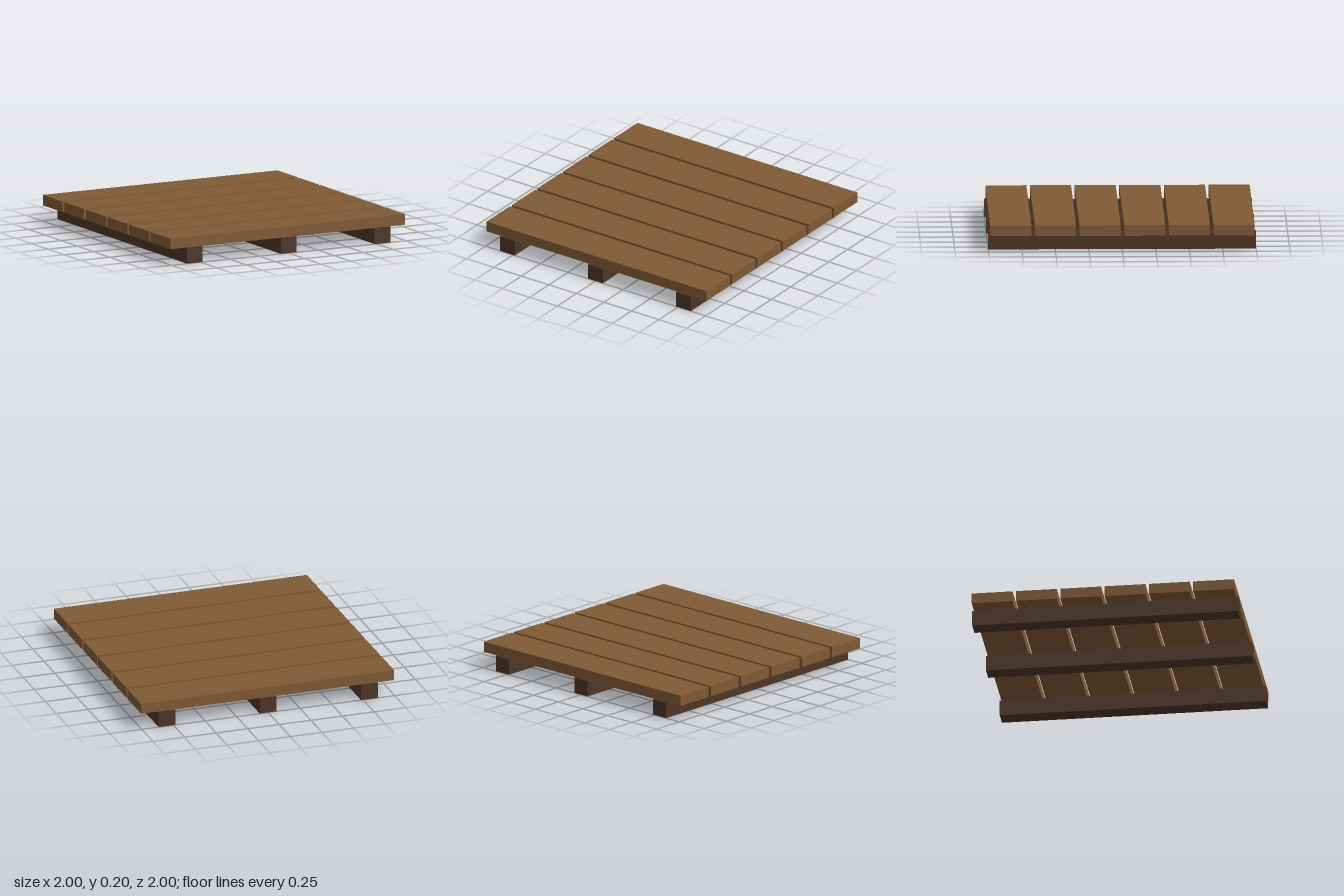
import * as THREE from 'three';

export function createModel() {
  const model = new THREE.Group();
  model.name = 'woodenPlatform';
  const plankWood = new THREE.MeshStandardMaterial({ color: 0x805a36 });
  const beamWood = new THREE.MeshStandardMaterial({ color: 0x4e3626 });

  const addBoard = (name, size, position, material) => {
    const mesh = new THREE.Mesh(new THREE.BoxGeometry(...size), material);
    mesh.name = name;
    mesh.position.set(...position);
    model.add(mesh);
  };

  // Three support beams running front to back
  const beamHeight = 0.12;
  ['rightBeam', 'middleBeam', 'leftBeam'].forEach((name, i) =>
    addBoard(name, [0.133, beamHeight, 2], [(i - 1) * 0.8, beamHeight / 2, 0], beamWood));

  // Six evenly spaced deck planks laid across the beams
  const count = 6, pitch = 2 / count, thickness = 0.08;
  for (let i = 0; i < count; i++) {
    addBoard(`deckPlank${i + 1}`, [2, thickness, 0.307],
      [0, beamHeight + thickness / 2, -1 + (i + 0.5) * pitch], plankWood);
  }
  return model;
}
